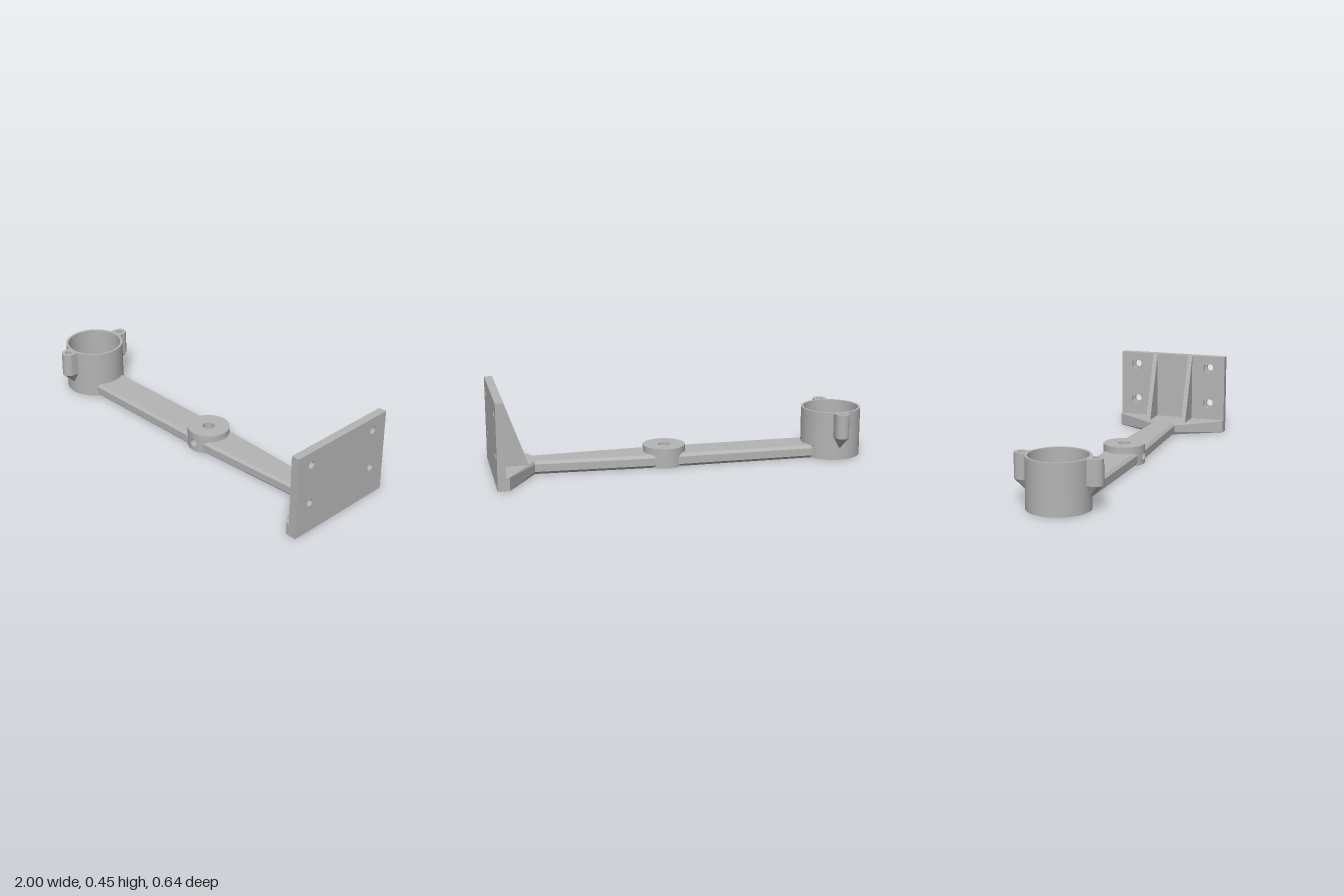
import * as THREE from 'three';

const V = (x, y, z) => new THREE.Vector3(x, y, z);

// Skin between successive closed rings of points
function loft(rings, smooth = false) {
  const n = rings[0].length, pos = [], idx = [];
  rings.forEach(r => r.forEach(p => pos.push(p.x, p.y, p.z)));
  for (let s = 0; s < rings.length - 1; s++) {
    for (let i = 0; i < n; i++) {
      const a = s * n + i, b = s * n + (i + 1) % n;
      idx.push(a, a + n, b + n, a, b + n, b);
    }
  }
  let g = new THREE.BufferGeometry();
  g.setAttribute('position', new THREE.Float32BufferAttribute(pos, 3));
  g.setIndex(idx);
  if (!smooth) g = g.toNonIndexed();
  g.computeVertexNormals();
  return g;
}

// Chamfered bar cross-section; x may depend on z
function barSection(x, half, c) {
  const T = 0.07, N = 10, k = half - c, pts = [];
  const at = (y, z) => pts.push(V(typeof x === 'function' ? x(z) : x, y, z));
  at(c, half);
  at(T - c, half);
  for (let i = 0; i <= N; i++) at(T, k - 2 * k * i / N);
  at(T - c, -half);
  at(c, -half);
  for (let i = 0; i <= N; i++) at(0, -k + 2 * k * i / N);
  return pts;
}

// Rings of a cylinder wall patch, from a round side hole out to its border
function holedWall(R, w, y0, y1, cy, r) {
  const per = 12, hole = [], edge = [];
  const corners = [[-w, y0], [w, y0], [w, y1], [-w, y1]];
  for (let s = 0; s < 4; s++) {
    for (let i = 0; i < per; i++) {
      const p = corners[s], q = corners[(s + 1) % 4], t = i / per;
      const a = p[0] + (q[0] - p[0]) * t, y = p[1] + (q[1] - p[1]) * t;
      const ang = Math.atan2(y - cy, a * R);
      hole.push([Math.asin(r * Math.cos(ang) / R), cy + r * Math.sin(ang)]);
      edge.push([a, y]);
    }
  }
  return [0, 0.25, 0.5, 0.75, 1].map(t => hole.map((h, i) => {
    const a = h[0] + (edge[i][0] - h[0]) * t, y = h[1] + (edge[i][1] - h[1]) * t;
    return V(R * Math.sin(a), y, R * Math.cos(a));
  }));
}

export function createModel() {
  const model = new THREE.Group();
  model.name = 'wallBracket';
  const grey = new THREE.MeshStandardMaterial({ color: 0xb4b4b4, side: THREE.DoubleSide });
  grey.name = 'grey';
  const add = (name, geo, parent = model) => {
    const m = new THREE.Mesh(geo, grey);
    m.name = name;
    parent.add(m);
    return m;
  };

  // Cup: outer wall, rim, inner wall and floor
  const cup = new THREE.Group();
  cup.name = 'cup';
  cup.position.x = -0.84;
  model.add(cup);
  const R = 0.16, r = 0.147, H = 0.26, F = 0.03;
  [[[0, 0], [R, 0]], [[R, 0], [R, H]], [[R, H], [r, H]], [[r, H], [r, F]], [[r, F], [0, F]]].forEach((seg, i) =>
    add(['cupBase', 'cupOuterWall', 'cupRim', 'cupInnerWall', 'cupFloor'][i],
      new THREE.LatheGeometry(seg.map(p => new THREE.Vector2(...p)), 64), cup));

  // Screw ears on both sides of the cup, each tapering down to the wall
  for (const turn of [0, Math.PI]) {
    const ear = new THREE.Group();
    ear.name = turn ? 'frontEar' : 'backEar';
    ear.rotation.y = turn;
    cup.add(ear);
    const outline = [new THREE.Vector2(-0.037, 0.149), new THREE.Vector2(0.037, 0.149)];
    for (let i = 0; i <= 16; i++) {
      const a = Math.PI * i / 16;
      outline.push(new THREE.Vector2(0.037 * Math.cos(a), 0.19 + 0.037 * Math.sin(a)));
    }
    const shape = new THREE.Shape(outline);
    shape.holes.push(new THREE.Path().absarc(0, 0.19, 0.017, 0, Math.PI * 2, true));
    add('earBoss', new THREE.ExtrudeGeometry(shape, { depth: 0.13, bevelEnabled: false, curveSegments: 20 })
      .rotateX(-Math.PI / 2).translate(0, 0.13, 0), ear);
    add('earHoleFloor', new THREE.CircleGeometry(0.018, 20).rotateX(-Math.PI / 2).translate(0, 0.14, -0.19), ear);
    add('earTaper', loft([outline.map(() => V(0, 0.06, -0.153)), outline.map(p => V(p.x, 0.13, -p.y))]), ear);
  }

  // Chamfered arm in two lengths, meeting the cup wall and the hub
  const C = 0.015;
  add('armOuter', loft([barSection(z => -0.84 + Math.sqrt(0.155 ** 2 - z * z), 0.095, C), barSection(0.04, 0.095, C)]));
  add('armInner', loft([[0.14, 0.095], [0.2, 0.095], [0.785, 0.068]].map(([x, h]) => barSection(x, h, C))));

  // Flare spreading to the full plate width
  add('flare', loft([[0.785, 0.068, C], [0.94, 0.318, 0.002], [0.965, 0.318, 0.002]].map(s => barSection(...s))));

  // Hub with a vertical socket and a round side hole at the front
  const hub = new THREE.Group();
  hub.name = 'hub';
  hub.position.x = 0.09;
  model.add(hub);
  const wall = (name, rad, w, y0) => {
    const rings = holedWall(rad, w, y0, 0.105, 0.045, 0.022);
    add(name + 'Front', loft(rings, true), hub);
    add(name, new THREE.CylinderGeometry(rad, rad, 0.105 - y0, 48, 1, true, w, Math.PI * 2 - 2 * w)
      .translate(0, (0.105 + y0) / 2, 0), hub);
    return rings[0];
  };
  const outerHole = wall('hubWall', 0.112, 0.5, 0);
  const innerHole = wall('socketWall', 0.032, 1.2, 0.02);
  // both hole rims share the same perimeter order, rebuilt here on matching angles
  const rim = rad => Array.from({ length: 32 }, (_, i) => {
    const a = Math.PI * 2 * i / 32, x = 0.022 * Math.cos(a);
    return V(x, 0.045 + 0.022 * Math.sin(a), Math.sqrt(rad * rad - x * x));
  });
  if (outerHole.length === innerHole.length) add('sideHole', loft([rim(0.112), rim(0.032)], true), hub);
  add('hubTop', new THREE.RingGeometry(0.032, 0.112, 48).rotateX(-Math.PI / 2).translate(0, 0.105, 0), hub);
  add('hubBase', new THREE.CircleGeometry(0.112, 48).rotateX(Math.PI / 2), hub);
  add('socketFloor', new THREE.CircleGeometry(0.032, 32).rotateX(-Math.PI / 2).translate(0, 0.02, 0), hub);

  // Mounting plate: round holes outside, hexagonal recesses inside
  const plateLayer = (name, x, depth, rad, sides) => {
    const s = new THREE.Shape([[-0.318, 0], [0.318, 0], [0.318, 0.448], [-0.318, 0.448]]
      .map(p => new THREE.Vector2(...p)));
    for (const z of [-0.224, 0.224]) for (const y of [0.165, 0.378]) {
      const pts = Array.from({ length: sides }, (_, i) => {
        const a = -Math.PI * 2 * (i + 0.5) / sides;
        return new THREE.Vector2(z + rad * Math.cos(a), y + rad * Math.sin(a));
      });
      s.holes.push(new THREE.Path(pts));
    }
    add(name, new THREE.ExtrudeGeometry(s, { depth, bevelEnabled: false })
      .rotateY(Math.PI / 2).translate(x, 0, 0));
  };
  plateLayer('plateOuter', 0.978, 0.022, 0.02, 32);
  plateLayer('plateInner', 0.957, 0.021, 0.035, 6);

  // Triangular ribs bracing the plate
  const tri = new THREE.Shape([[0.82, 0.065], [0.96, 0.065], [0.96, 0.448], [0.957, 0.448], [0.822, 0.07]]
    .map(p => new THREE.Vector2(...p)));
  for (const z of [-0.108, 0.108]) {
    add(z > 0 ? 'frontRib' : 'backRib', new THREE.ExtrudeGeometry(tri, { depth: 0.026, bevelEnabled: false })
      .translate(0, 0, z - 0.013));
  }
  return model;
}
